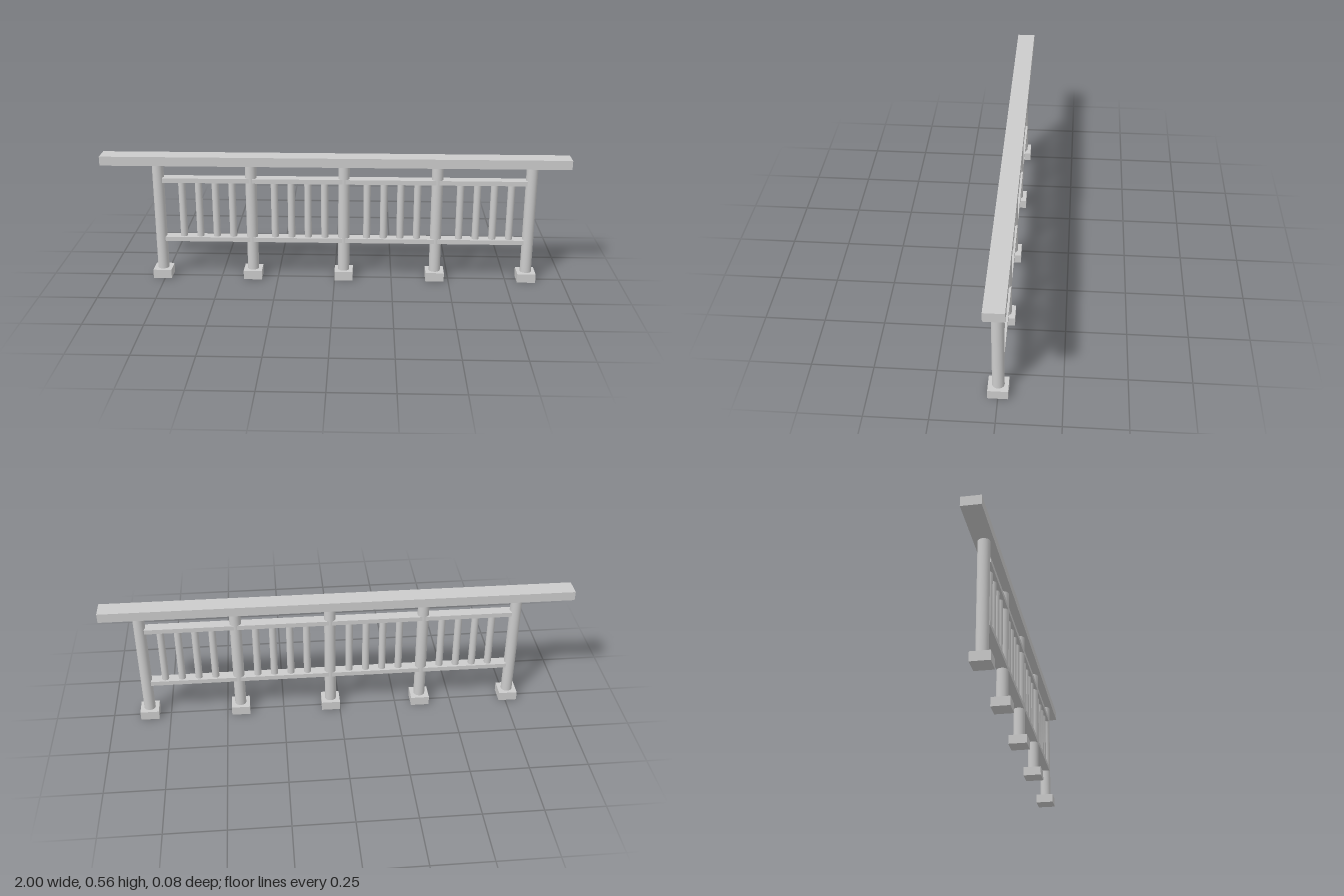
import * as THREE from 'three';

export function createModel() {
  const group = new THREE.Group();
  const material = new THREE.MeshStandardMaterial({ color: 0xcccccc });

  function add(name, geometry, x, y) {
    const mesh = new THREE.Mesh(geometry, material);
    mesh.name = name;
    mesh.position.set(x, y, 0);
    group.add(mesh);
  }

  const firstPost = -0.76, spacing = 0.4, posts = 5;
  const middle = firstPost + spacing * (posts - 1) / 2;

  // Handrail along the top
  add('handrail', new THREE.BoxGeometry(2, 0.04, 0.08), 0, 0.54);

  // Slim rails that run through the posts
  const railGeometry = new THREE.BoxGeometry(1.56, 0.02, 0.047);
  add('upperRail', railGeometry, middle, 0.45);
  add('lowerRail', railGeometry, middle, 0.181);

  // Round posts on square feet, with four balusters in each bay
  const footGeometry = new THREE.BoxGeometry(0.08, 0.04, 0.08);
  const postGeometry = new THREE.CylinderGeometry(0.0245, 0.0245, 0.48, 32);
  const balusterGeometry = new THREE.CylinderGeometry(0.0155, 0.0155, 0.275, 24);
  for (let i = 0; i < posts; i++) {
    const x = firstPost + i * spacing;
    add('foot', footGeometry, x, 0.02);
    add('post', postGeometry, x, 0.28);
    if (i === posts - 1) continue;
    for (let j = 0; j < 4; j++) {
      add('baluster', balusterGeometry, x + 0.1 + j * 0.0723, 0.3175);
    }
  }

  return group;
}
